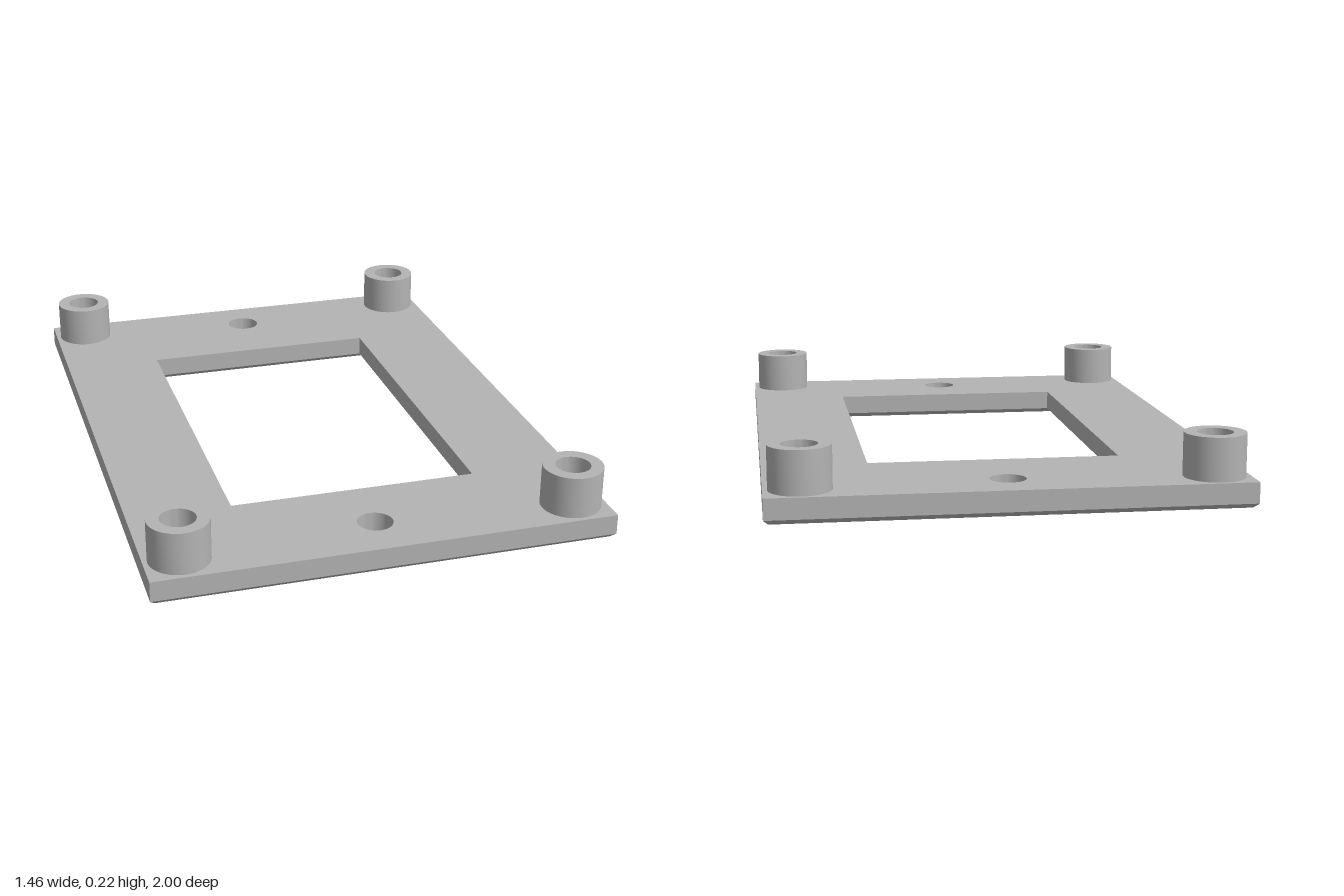
import * as THREE from 'three';
import { mergeGeometries, toCreasedNormals } from 'three/addons/utils/BufferGeometryUtils.js';

const TOP = 0.08, CHAMFER = 0.015, POST_TOP = 0.215;

// Counter-clockwise outlines in the plate's plane (outline y points to the back)
const rect = (x0, y0, x1, y1) =>
  [[x0, y0], [x1, y0], [x1, y1], [x0, y1]].map(([x, y]) => new THREE.Vector2(x, y));
const circle = (cx, cy, r, n = 40) => Array.from({ length: n }, (_, i) => {
  const a = (i / n) * Math.PI * 2;
  return new THREE.Vector2(cx + r * Math.cos(a), cy + r * Math.sin(a));
});

// Border, window and two screw holes, with every edge cut back by c
function outlines(c) {
  return [
    rect(-0.73 + c, -1 + c, 0.73 - c, 1 - c),
    rect(-0.4 - c, -0.618 - c, 0.4 + c, 0.575 + c).reverse(),
    circle(0, 0.845, 0.056 + c).reverse(),
    circle(0, -0.835, 0.056 + c).reverse(),
  ];
}

// Flat face with its cut-outs at height h
function cap(loops, h, flip) {
  const shape = new THREE.Shape(loops[0]);
  shape.holes = loops.slice(1).map((l) => new THREE.Path(l));
  const g = new THREE.ShapeGeometry(shape).translate(0, 0, h);
  if (flip) g.index.array.reverse();
  const out = g.toNonIndexed();
  out.deleteAttribute('uv');
  out.deleteAttribute('normal');
  return out;
}

// Strips joining each outline at height h0 to its partner at height h1
function walls(low, h0, high, h1) {
  const pos = [];
  low.forEach((loop, k) => loop.forEach((a, i) => {
    const j = (i + 1) % loop.length;
    const b = loop[j], c = high[k][j], d = high[k][i];
    pos.push(a.x, a.y, h0, b.x, b.y, h0, c.x, c.y, h1);
    pos.push(a.x, a.y, h0, c.x, c.y, h1, d.x, d.y, h1);
  }));
  const g = new THREE.BufferGeometry();
  g.setAttribute('position', new THREE.Float32BufferAttribute(pos, 3));
  return g;
}

export function createModel() {
  const model = new THREE.Group();
  model.name = 'mountingFrame';
  const grey = new THREE.MeshStandardMaterial({ color: 0xb3b3b3 });
  grey.name = 'grey';

  // Plate with chamfered underside edges
  const full = outlines(0), cut = outlines(CHAMFER);
  const plateGeo = mergeGeometries([
    cap(full, TOP, false),
    cap(cut, 0, true),
    walls(cut, 0, full, CHAMFER),
    walls(full, CHAMFER, full, TOP),
  ]);
  plateGeo.rotateX(-Math.PI / 2);
  const plate = new THREE.Mesh(toCreasedNormals(plateGeo, 0.5), grey);
  plate.name = 'plate';
  model.add(plate);

  // Hollow standoff posts at the corners
  const profile = [[0.095, TOP], [0.095, POST_TOP], [0.055, POST_TOP], [0.055, TOP]]
    .map(([r, y]) => new THREE.Vector2(r, y));
  const postGeo = toCreasedNormals(new THREE.LatheGeometry(profile, 48), 0.5);
  for (const x of [-0.62, 0.62]) {
    for (const z of [-0.895, 0.89]) {
      const post = new THREE.Mesh(postGeo, grey);
      post.name = (z > 0 ? 'front' : 'back') + (x > 0 ? 'Left' : 'Right') + 'Post';
      post.position.set(x, 0, z);
      model.add(post);
    }
  }
  return model;
}
